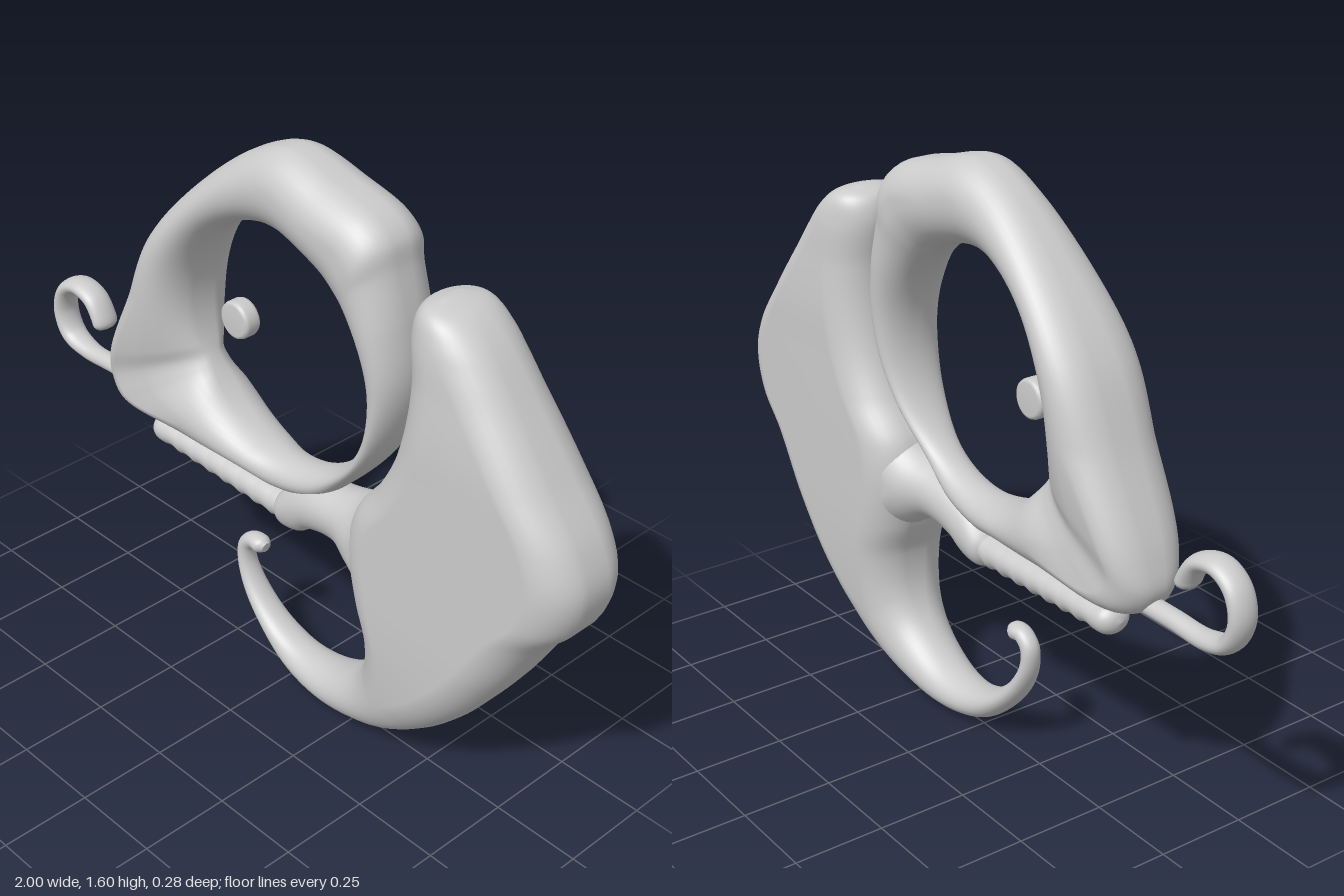
import * as THREE from 'three';

const material = new THREE.MeshStandardMaterial({ color: 0xcccccc });
const SIDES = 36;

// Lofts a pillowed solid between two rails. Each rail point is (x, y, halfDepth).
// Rail a lies to the right of the walking direction, rail b to its left.
function loft(name, a, b, { roundA = 0.12, roundB = 0.12, closed = false } = {}) {
  const pos = [], index = [], n = a.length;
  for (let i = 0; i < n; i++) {
    const mx = (a[i].x + b[i].x) / 2, my = (a[i].y + b[i].y) / 2;
    const dx = b[i].x - a[i].x, dy = b[i].y - a[i].y;
    const len = Math.hypot(dx, dy) || 1e-6, h = len / 2;
    const d = b[i].z, rz = Math.min(d, 0.05 + d * 0.45);
    for (let j = 0; j < SIDES; j++) {
      const t = ((j + 0.5) / SIDES) * Math.PI * 2, c = Math.cos(t), s = Math.sin(t);
      const r = c > 0 ? Math.min(roundB, h * 0.95) : Math.min(roundA, h * 1.05);
      const w = Math.sign(c) * (h - r) + r * c;
      pos.push(mx + (dx / len) * w, my + (dy / len) * w, Math.sign(s) * (d - rz) + rz * s);
    }
  }
  for (let i = 0; i < (closed ? n : n - 1); i++) {
    for (let j = 0; j < SIDES; j++) {
      const k = (j + 1) % SIDES, p = i * SIDES, q = ((i + 1) % n) * SIDES;
      index.push(p + j, p + k, q + j, q + j, p + k, q + k);
    }
  }
  // end caps
  if (!closed) {
    const e = (n - 1) * SIDES;
    for (let j = 1; j < SIDES - 1; j++) index.push(0, j + 1, j, e, e + j, e + j + 1);
  }
  const geo = new THREE.BufferGeometry();
  geo.setAttribute('position', new THREE.Float32BufferAttribute(pos, 3));
  geo.setIndex(index);
  geo.computeVertexNormals();
  const mesh = new THREE.Mesh(geo, material);
  mesh.name = name;
  return mesh;
}

const smooth = (pts, count, closed = false) =>
  new THREE.CatmullRomCurve3(pts.map(p => new THREE.Vector3(...p)), closed).getPoints(count);

// Stations are [ax, ay, bx, by, halfDepth]
function band(name, stations, count, options) {
  return loft(name,
    smooth(stations.map(s => [s[0], s[1], s[4]]), count),
    smooth(stations.map(s => [s[2], s[3], s[4]]), count), options);
}

// Rounded taper towards both ends of a strand
const endTaper = (dist, r) => Math.sqrt(Math.max(0.002, 1 - (1 - Math.min(1, dist / r)) ** 2));

// Head: a ring between a free outline and the round eye opening
function makeHead() {
  const cx = -0.027, cy = 1.046, r = 0.332;
  const outline = [
    [0, 1.6, 0.11], [0.16, 1.565, 0.12], [0.295, 1.525, 0.12], [0.345, 1.48, 0.12],
    [0.362, 1.41, 0.115], [0.395, 1.27, 0.11], [0.408, 1.12, 0.1], [0.375, 0.98, 0.09],
    [0.31, 0.86, 0.075], [0.2, 0.735, 0.055], [0.1, 0.65, 0.06], [-0.03, 0.615, 0.07],
    [-0.15, 0.628, 0.09], [-0.42, 0.637, 0.12], [-0.65, 0.64, 0.11], [-0.697, 0.7, 0.105],
    [-0.68, 0.79, 0.12], [-0.58, 1.0, 0.135], [-0.475, 1.22, 0.135], [-0.31, 1.41, 0.115],
    [-0.125, 1.555, 0.105],
  ];
  const outer = smooth(outline, 210, true).slice(0, -1);
  const inner = outer.map(p => {
    const t = Math.atan2(p.y - cy, p.x - cx);
    return new THREE.Vector3(cx + r * Math.cos(t), cy + r * Math.sin(t), p.z);
  });
  return loft('head', inner, outer, { roundA: 0.26, roundB: 0.1, closed: true });
}

// Body sweeping from the raised back down into the hooked tail
function makeBody() {
  return band('bodyAndTail', [
    [0.505, 1.408, 0.525, 1.408, 0.03], [0.457, 1.385, 0.595, 1.388, 0.095],
    [0.44, 1.33, 0.66, 1.335, 0.12], [0.453, 1.2, 0.765, 1.2, 0.132],
    [0.445, 1.08, 0.87, 1.06, 0.14], [0.41, 0.95, 0.965, 0.93, 0.14],
    [0.36, 0.85, 0.997, 0.83, 0.14], [0.285, 0.745, 0.97, 0.72, 0.14],
    [0.265, 0.64, 0.89, 0.623, 0.14], [0.29, 0.5, 0.785, 0.452, 0.14],
    [0.323, 0.4, 0.655, 0.275, 0.135], [0.318, 0.29, 0.516, 0.142, 0.122],
    [0.275, 0.206, 0.355, 0.045, 0.1], [0.17, 0.13, 0.14, 0.003, 0.078],
    [0.06, 0.11, -0.02, 0.035, 0.06], [-0.045, 0.136, -0.13, 0.12, 0.047],
    [-0.135, 0.205, -0.195, 0.205, 0.038], [-0.18, 0.28, -0.225, 0.285, 0.03],
    [-0.18, 0.322, -0.222, 0.345, 0.027], [-0.165, 0.337, -0.185, 0.38, 0.027],
    [-0.146, 0.334, -0.14, 0.383, 0.028], [-0.128, 0.342, -0.122, 0.372, 0.015],
  ], 210);
}

// Neck bridging head, lower jaw and body
function makeNeck() {
  return band('neck', [
    [-0.05, 0.535, -0.05, 0.59, 0.035], [-0.025, 0.5, -0.025, 0.62, 0.06],
    [0.03, 0.502, 0.03, 0.67, 0.068], [0.08, 0.535, 0.1, 0.695, 0.072],
    [0.195, 0.553, 0.2, 0.712, 0.08], [0.29, 0.505, 0.28, 0.74, 0.11],
    [0.4, 0.45, 0.38, 0.85, 0.13],
  ], 60);
}

// Lower jaw with a ridged underside
function makeLowerJaw() {
  const a = [], b = [], n = 160, length = 0.56;
  for (let i = 0; i <= n; i++) {
    const t = i / n, x = -0.563 + length * t;
    const f = endTaper(Math.min(t, 1 - t) * length, 0.042);
    const ridge = t > 0.1 ? 0.008 * Math.abs(Math.sin(t * Math.PI * 9)) : 0;
    const top = 0.61 - 0.012 * t, bottom = 0.525 - 0.022 * t + ridge, mid = (top + bottom) / 2;
    a.push(new THREE.Vector3(x, mid + (bottom - mid) * f, 0.05 * f));
    b.push(new THREE.Vector3(x, mid + (top - mid) * f, 0.05 * f));
  }
  return loft('lowerJaw', a, b);
}

// Curled strand at the tip of the snout
function makeCurl() {
  const curve = new THREE.CatmullRomCurve3([
    [-0.62, 0.663, 0], [-0.75, 0.663, 0], [-0.87, 0.662, 0], [-0.945, 0.69, 0],
    [-0.976, 0.76, 0], [-0.955, 0.83, 0], [-0.9, 0.863, 0], [-0.835, 0.848, 0],
    [-0.8, 0.8, 0], [-0.79, 0.765, 0],
  ].map(p => new THREE.Vector3(...p)));
  const a = [], b = [], n = 120, length = curve.getLength();
  for (let i = 0; i <= n; i++) {
    const u = i / n, p = curve.getPointAt(u), t = curve.getTangentAt(u);
    const f = endTaper((1 - u) * length, 0.025), w = 0.024 * f;
    const d = (0.028 + 0.012 * THREE.MathUtils.smoothstep(u, 0.25, 0.5)) * f;
    a.push(new THREE.Vector3(p.x + t.y * w, p.y - t.x * w, d));
    b.push(new THREE.Vector3(p.x - t.y * w, p.y + t.x * w, d));
  }
  return loft('snoutCurl', a, b);
}

// Small floating pupil disc with softened rim
function makePupil() {
  const profile = [[0, -0.026], [0.042, -0.026], [0.05, -0.022], [0.053, -0.014],
    [0.053, 0.014], [0.05, 0.022], [0.042, 0.026], [0, 0.026]];
  const geo = new THREE.LatheGeometry(profile.map(p => new THREE.Vector2(...p)), 40);
  const mesh = new THREE.Mesh(geo, material);
  mesh.rotation.x = Math.PI / 2;
  mesh.position.set(-0.215, 1.04, 0);
  mesh.name = 'pupil';
  return mesh;
}

export function createModel() {
  const model = new THREE.Group();
  model.name = 'chameleon';
  model.add(makeHead(), makeBody(), makeNeck(), makeLowerJaw(), makeCurl(), makePupil());
  return model;
}
